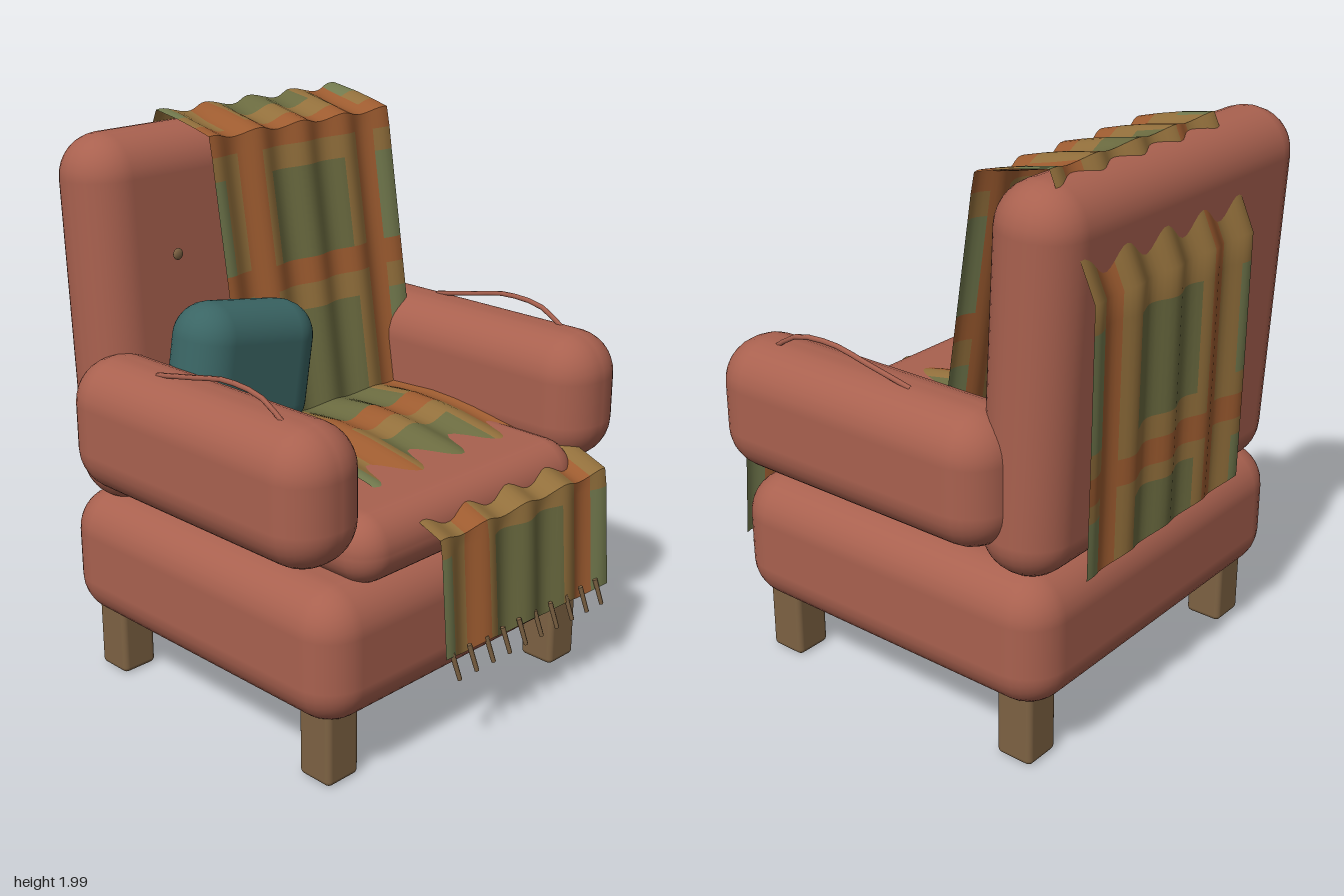
import * as THREE from 'three';
import { RoundedBoxGeometry } from 'three/addons/geometries/RoundedBoxGeometry.js';
import { toCreasedNormals } from 'three/addons/utils/BufferGeometryUtils.js';

const mat = (name, color, side = THREE.FrontSide) => {
  const m = new THREE.MeshStandardMaterial({ color, side });
  m.name = name;
  return m;
};

export function createModel() {
  const model = new THREE.Group();
  model.name = 'armchair';
  const upholstery = mat('terracotta upholstery', 0xa9614f);
  const teal = mat('teal cushion', 0x3a6564);
  const wood = mat('wood', 0x7d6243);
  const cloth = [
    mat('olive cloth', 0x6b6b40, THREE.DoubleSide),
    mat('mustard cloth', 0x93703c, THREE.DoubleSide),
    mat('rust cloth', 0x9e5c30, THREE.DoubleSide),
    mat('sage cloth', 0x737a4e, THREE.DoubleSide),
  ];

  const add = (name, geometry, material, x = 0, y = 0, z = 0) => {
    const mesh = new THREE.Mesh(geometry, material);
    mesh.name = name;
    mesh.position.set(x, y, z);
    model.add(mesh);
    return mesh;
  };
  const padded = (name, size, radius, material, x, y, z) =>
    add(name, new RoundedBoxGeometry(...size, 4, radius), material, x, y, z);

  // Upholstered body
  padded('base', [1.43, 0.475, 1.355], 0.15, upholstery, 0, 0.458, -0.012);
  padded('seatCushion', [1.1, 0.24, 1.01], 0.115, upholstery, 0, 0.78, 0.145);
  padded('backrest', [1.38, 1.29, 0.31], 0.15, upholstery, 0, 1.31, -0.55).rotation.x = -0.05;

  for (const side of [-1, 1]) {
    padded('arm', [0.33, 0.47, 1.185], 0.155, upholstery, side * 0.645, 1.005, 0.052);

    // Raised seam on top of the arm
    const seam = new THREE.CatmullRomCurve3([
      [1.215, 0.45], [1.283, 0.34], [1.298, 0.17], [1.272, 0.03], [1.235, -0.16],
    ].map(([y, z]) => new THREE.Vector3(side * 0.678, y, z)));
    add('armSeam', new THREE.TubeGeometry(seam, 10, 0.009, 6), upholstery);

    // Backrest button
    add('button', new THREE.SphereGeometry(0.02, 12, 8), wood, side * 0.42, 1.555, -0.352).scale.z = 0.5;

    for (const z of [0.515, -0.535]) {
      padded('leg', [0.14, 0.28, 0.14], 0.02, wood, side * 0.57, 0.14, z);
    }
  }

  // Throw pillow
  padded('pillow', [0.55, 0.475, 0.26], 0.125, teal, -0.305, 1.165, -0.18).rotation.z = -0.17;

  // Throw blanket and its fringe
  model.add(blanket(cloth));
  for (let i = 0; i < 10; i++) {
    const strand = add('fringe', new THREE.CylinderGeometry(0.009, 0.008, 0.1, 6), wood,
      -0.24 + i * 0.0845, 0.36, 0.765);
    strand.rotation.set(-0.2, 0, 0.2);
  }
  return model;
}

// Plaid sheet: a path of rows (z, y) swept across columns (x), rippled along its normal
function blanket(cloth) {
  // Each entry gives the kind of band that follows it
  const rows = [
    [0.75, 0.375, 'o'], [0.723, 0.74, 'm'], [0.718, 0.795, 'm'], [0.55, 0.86, 'o'], [0.4, 0.895, 'o'],
    [0.2, 0.93, 'm'], [0.11, 0.94, 'r'], [0, 0.945, 'o'], [-0.19, 0.93, 'o'], [-0.244, 1.28, 'm'],
    [-0.258, 1.37, 'r'], [-0.272, 1.46, 'o'], [-0.322, 1.78, 'm'], [-0.334, 1.86, 'r'],
    [-0.345, 1.925, 'r'], [-0.41, 1.94, 'm'], [-0.5, 1.96, 'o'], [-0.6, 1.983, 'm'],
    [-0.766, 1.62, 'm'], [-0.765, 1.53, 'o'], [-0.762, 1.15, 'm'], [-0.761, 1.07, 'r'],
    [-0.76, 0.98, 'm'], [-0.759, 0.92, 'o'], [-0.757, 0.73, 'o'],
  ];
  const columns = [
    [-0.285, 's'], [-0.235, 'm'], [-0.15, 'r'], [-0.06, 'm'], [-0.015, 'o'],
    [0.33, 'm'], [0.41, 'r'], [0.5, 's'], [0.575, 's'],
  ];
  const colourOf = (row, col) => {
    if (row === 'r' || col === 'r') return 2;
    if (row === 'm' || col === 'm') return 1;
    return col === 's' ? 3 : 0;
  };

  // Subdivide the columns so the ripples are smooth
  const xs = [], kinds = [];
  for (let c = 0; c < columns.length - 1; c++) {
    const [x0, kind] = columns[c], x1 = columns[c + 1][0];
    const n = Math.ceil((x1 - x0) / 0.022);
    for (let i = 0; i < n; i++) {
      xs.push(x0 + (x1 - x0) * i / n);
      kinds.push(kind);
    }
  }
  xs.push(0.575);

  const positions = [];
  rows.forEach(([z, y], r) => {
    const a = rows[Math.max(r - 1, 0)], b = rows[Math.min(r + 1, rows.length - 1)];
    const dz = b[0] - a[0], dy = b[1] - a[1], len = Math.hypot(dz, dy);
    const hem = r === 0 || r === rows.length - 1;
    for (const x of xs) {
      const ripple = Math.cos((x + 0.265) * 2 * Math.PI / 0.205);
      const w = 0.015 * ripple;
      const drop = hem ? 0.012 * ripple - 0.03 * (x - 0.145) : 0;
      positions.push(x, y - w * dz / len + drop, z + w * dy / len);
    }
  });

  // Sort faces by colour into material groups
  const faces = [[], [], [], []];
  const n = xs.length;
  for (let r = 0; r < rows.length - 1; r++) {
    for (let c = 0; c < n - 1; c++) {
      const a = r * n + c, b = a + 1, d = a + n, e = d + 1;
      faces[colourOf(rows[r][2], kinds[c])].push(a, b, e, a, e, d);
    }
  }
  const geometry = new THREE.BufferGeometry();
  geometry.setAttribute('position', new THREE.Float32BufferAttribute(positions, 3));
  geometry.setIndex(faces.flat());
  let start = 0;
  faces.forEach((f, i) => {
    geometry.addGroup(start, f.length, i);
    start += f.length;
  });
  const mesh = new THREE.Mesh(toCreasedNormals(geometry, 0.7), cloth);
  mesh.name = 'throwBlanket';
  return mesh;
}
